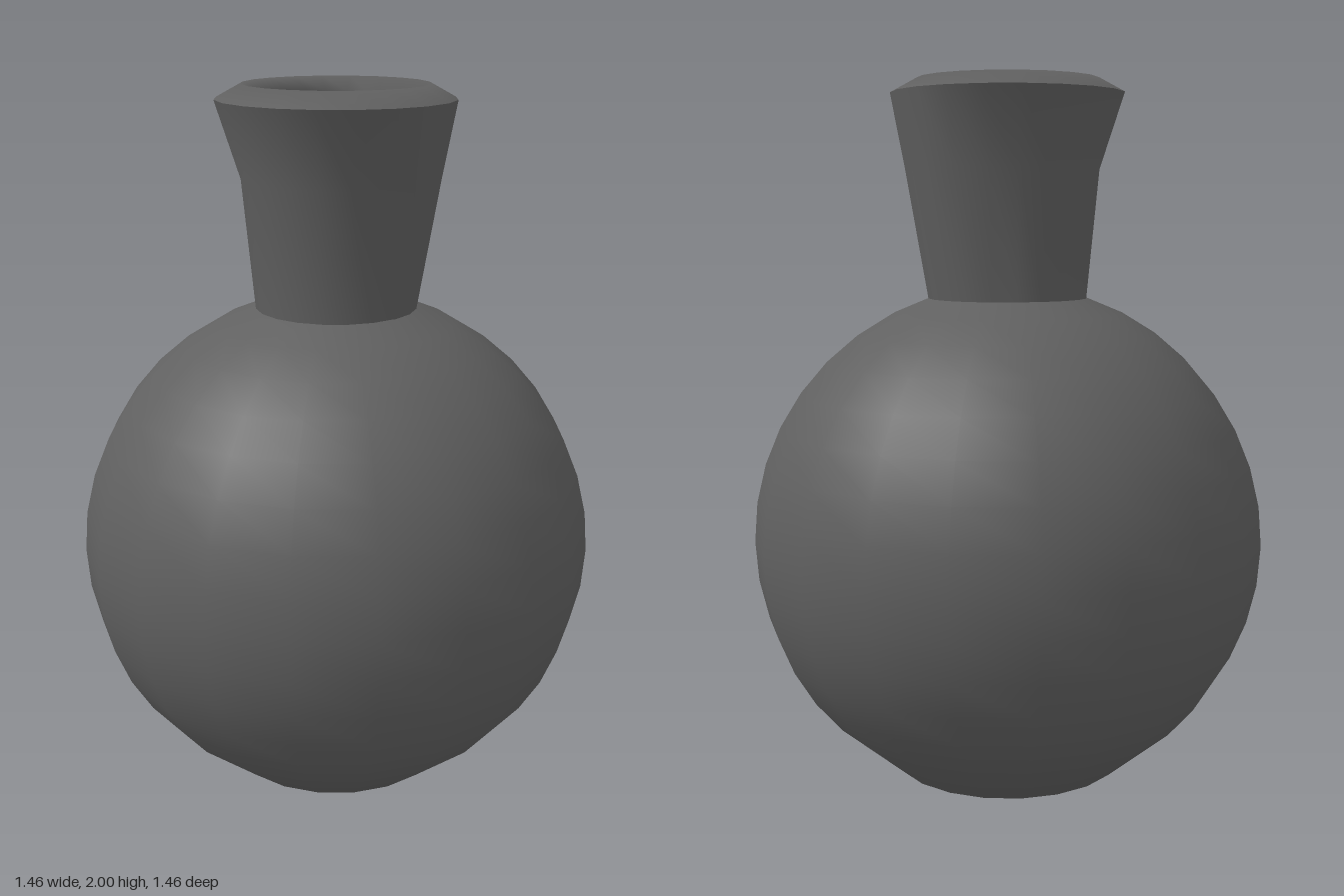
import * as THREE from 'three';
import { mergeVertices } from 'three/addons/utils/BufferGeometryUtils.js';

const SIDES = 20;

export function createModel() {
  const group = new THREE.Group();
  const material = new THREE.MeshStandardMaterial({ color: 0x606060 });

  // Turned part from [radius, height] pairs; adjust may reshape each vertex
  function turned(name, profile, adjust) {
    let geo = new THREE.LatheGeometry(profile.map(([r, y]) => new THREE.Vector2(r, y)), SIDES);
    if (adjust) {
      adjust(geo.attributes.position);
      geo.deleteAttribute('uv');
      geo.deleteAttribute('normal');
      geo = mergeVertices(geo);
      geo.computeVertexNormals();
    }
    const mesh = new THREE.Mesh(geo, material);
    mesh.name = name;
    group.add(mesh);
  }

  // Round body on a slightly domed base
  const R = 0.728, CY = 0.7;
  const body = [[0, 0], [0.17, 0.008], [0.33, 0.03]];
  for (let deg = -45; deg <= 72; deg += 9) {
    const a = THREE.MathUtils.degToRad(deg);
    body.push([R * Math.cos(a), CY + R * Math.sin(a)]);
  }
  turned('body', body);

  // Flared neck: waisted all round except on the left, where the wall runs straight
  const MID = 1.75;
  turned('neck', [[0.224, 1.38], [0.25, MID], [0.328, 1.96]], (pos) => {
    for (let i = 0; i < pos.count; i++) {
      if (Math.abs(pos.getY(i) - MID) > 0.01) continue;
      const a = Math.atan2(pos.getZ(i), pos.getX(i));
      const r = Math.abs(a) < 1 ? 0.288 : 0.246 - 0.014 * Math.cos(a);
      pos.setXYZ(i, r * Math.cos(a), MID, r * Math.sin(a));
    }
  });

  // Rounded lip running smoothly into the inner wall of the mouth
  turned('lip', [[0.328, 1.96], [0.255, 2.0], [0.178, 1.965], [0.178, 1.4]]);

  // Floor of the mouth
  turned('mouthFloor', [[0.178, 1.4], [0, 1.4]]);

  return group;
}
